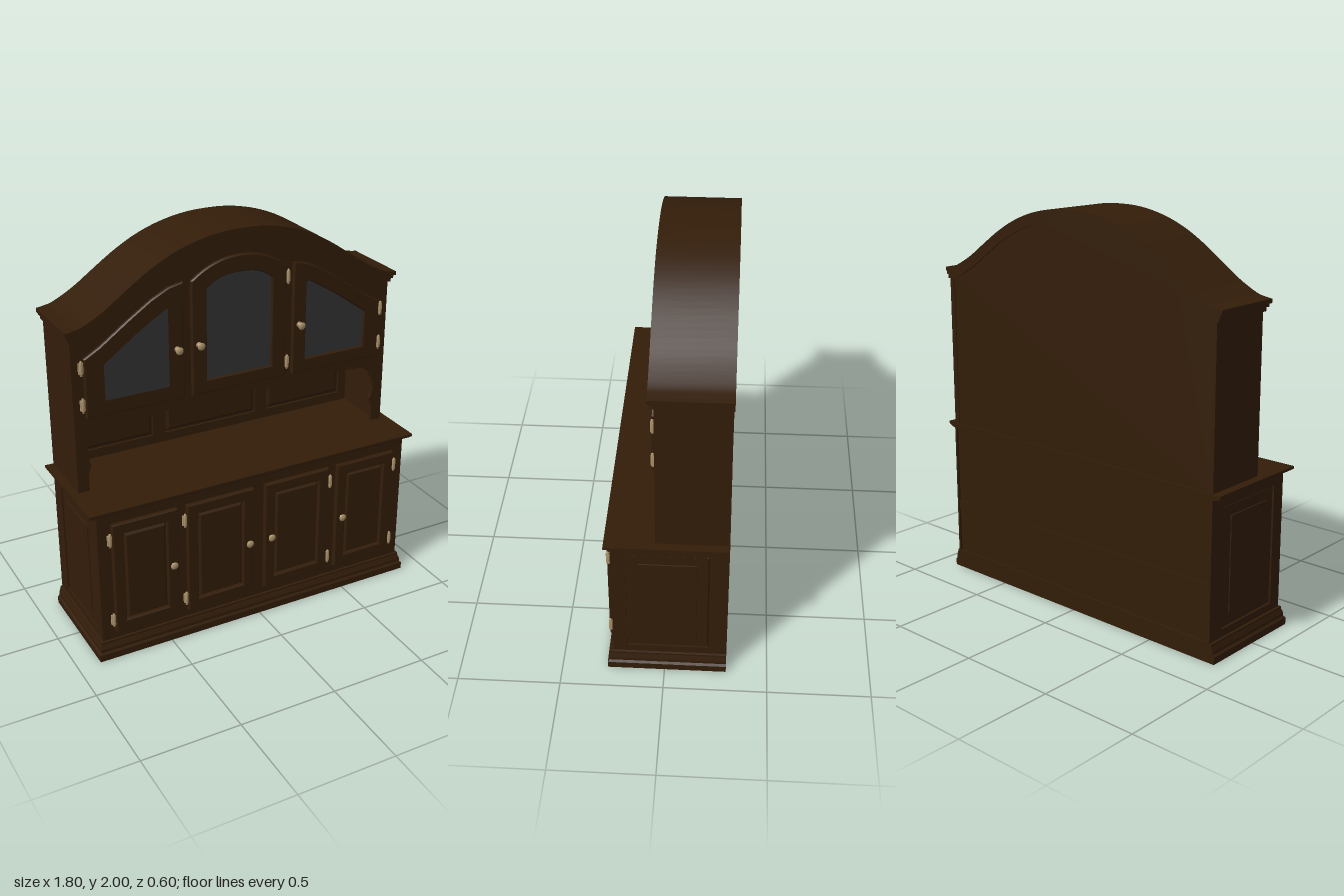
import * as THREE from 'three';
import { toCreasedNormals } from 'three/addons/utils/BufferGeometryUtils.js';

const material = (name, color) => Object.assign(new THREE.MeshStandardMaterial({ color }), { name });
const wood = material('dark wood', 0x331d09);
const glass = material('smoked glass', 0x333333);
const brass = material('aged brass', 0xac936b);

const BACK = -0.3, SIDE = 0.857;
const LOW = 0.25, HIGH = 0.04; // front planes of the base and the hutch

function add(parent, name, geometry, mat, x = 0, y = 0, z = 0) {
  const mesh = new THREE.Mesh(geometry, mat);
  mesh.name = name;
  mesh.position.set(x, y, z);
  parent.add(mesh);
  return mesh;
}

// Box given by its limits
function block(parent, name, x0, x1, y0, y1, z0, z1, mat = wood) {
  return add(parent, name, new THREE.BoxGeometry(x1 - x0, y1 - y0, z1 - z0), mat,
    (x0 + x1) / 2, (y0 + y1) / 2, (z0 + z1) / 2);
}

// Moulded solid from stacked rectangles: [y, halfWidth, front, back]
function stack(levels) {
  const pos = [], idx = [], last = (levels.length - 1) * 4;
  levels.forEach(([y, hx, zf, zb = BACK]) => pos.push(-hx, y, zf, hx, y, zf, hx, y, zb, -hx, y, zb));
  for (let l = 0; l < last; l += 4) {
    for (let i = 0; i < 4; i++) {
      const a = l + i, b = l + (i + 1) % 4;
      idx.push(a, b, b + 4, a, b + 4, a + 4);
    }
  }
  idx.push(0, 2, 1, 0, 3, 2, last, last + 1, last + 2, last, last + 2, last + 3);
  const g = new THREE.BufferGeometry();
  g.setAttribute('position', new THREE.Float32BufferAttribute(pos, 3));
  g.setIndex(idx);
  const flat = g.toNonIndexed();
  flat.computeVertexNormals();
  return flat;
}

// Raised field: a box whose front face is inset, giving sloping edges
function raisedField(w, h, d, slope) {
  const g = new THREE.BoxGeometry(w, h, d).toNonIndexed();
  const p = g.attributes.position;
  for (let i = 0; i < p.count; i++) {
    if (p.getZ(i) > 0) p.setXY(i, p.getX(i) - Math.sign(p.getX(i)) * slope, p.getY(i) - Math.sign(p.getY(i)) * slope);
  }
  g.computeVertexNormals();
  return g;
}

const pts = (list) => list.map(([x, y]) => new THREE.Vector2(x, y));
const rect = (x0, x1, y0, y1) => pts([[x0, y0], [x1, y0], [x1, y1], [x0, y1]]);

function plate(outline, holes, depth, bevel = 0) {
  const shape = new THREE.Shape(outline);
  holes.forEach((h) => shape.holes.push(new THREE.Path(h)));
  const g = new THREE.ExtrudeGeometry(shape, {
    depth: depth - bevel, bevelEnabled: bevel > 0, bevelThickness: bevel,
    bevelSize: bevel, bevelOffset: -bevel, bevelSegments: 1,
  });
  return toCreasedNormals(g, 0.4);
}

// Bonnet curve, left to right, squeezed to a half width and lowered
const half = [[-0.885, 1.645], [-0.85, 1.65], [-0.8, 1.663], [-0.7, 1.716], [-0.6, 1.785],
  [-0.5, 1.853], [-0.4, 1.91], [-0.3, 1.952], [-0.2, 1.98], [-0.1, 1.996]];
const bonnet = new THREE.SplineCurve(pts([...half, [0, 2], ...half.map(([x, y]) => [-x, y]).reverse()]));
const arch = (hx, drop) => bonnet.getPoints(72).map((p) => new THREE.Vector2(p.x * hx / 0.885, p.y - drop));

// Framed door with a raised field, facing +z
function panelDoor(w, h, border, depth) {
  const g = new THREE.Group(), x = w / 2, y = h / 2;
  add(g, 'doorFrame', plate(rect(-x, x, -y, y), [rect(-x + border, x - border, -y + border, y - border)], depth, 0.006), wood);
  add(g, 'doorField', raisedField(w - 2 * border, h - 2 * border, depth * 0.8, 0.016), wood, 0, 0, depth * 0.4);
  return g;
}

const knobGeometry = new THREE.LatheGeometry(pts([[0.016, 0], [0.014, 0.004], [0.006, 0.007], [0.006, 0.02],
  [0.018, 0.026], [0.02, 0.031], [0.014, 0.037], [0, 0.039]]), 14).rotateX(Math.PI / 2);
const hingeGeometry = new THREE.LatheGeometry(pts([[0, -0.04], [0.006, -0.036], [0.004, -0.031], [0.009, -0.027],
  [0.009, 0.027], [0.004, 0.031], [0.006, 0.036], [0, 0.04]]), 10);

function hinge(parent, x, y, z) {
  add(parent, 'hingeBarrel', hingeGeometry, brass, x, y, z + 0.006);
  block(parent, 'hingeLeaf', x - 0.012, x + 0.012, y - 0.026, y + 0.026, z - 0.004, z + 0.006, brass);
}

function buildBase() {
  const base = new THREE.Group();
  base.name = 'baseCabinet';
  block(base, 'baseBody', -SIDE + 0.012, SIDE - 0.012, 0.09, 0.795, BACK + 0.01, LOW);
  block(base, 'backRail', -SIDE + 0.012, SIDE - 0.012, 0.33, 0.38, BACK + 0.004, BACK + 0.02);
  add(base, 'plinth', stack([[0.05, 0.865, 0.255, -0.285], [0, 0.865, 0.255, -0.285], [0, 0.885, 0.278],
    [0.035, 0.885, 0.278], [0.045, 0.876, 0.27], [0.06, 0.876, 0.27], [0.085, 0.868, 0.26], [0.095, 0.868, 0.26],
    [0.098, 0.85, 0.245]]), wood);
  add(base, 'counterTop', stack([[0.79, 0.868, 0.255], [0.797, 0.887, 0.266], [0.806, 0.9, 0.276], [0.818, 0.9, 0.276]]), wood);

  // Side walls with a recessed panel and a raised centre
  const mid = (LOW + BACK) / 2;
  for (const s of [-1, 1]) {
    const side = new THREE.Group();
    side.name = s < 0 ? 'rightSide' : 'leftSide';
    const hz = (LOW - BACK) / 2, c = -s * (-0.015 - mid);
    add(side, 'sideFrame', plate(rect(-hz, hz, -0.355, 0.345), [rect(c - 0.195, c + 0.195, -0.31, 0.29)], 0.012), wood);
    add(side, 'sidePanel', raisedField(0.39, 0.6, 0.006, 0.006), wood, c, -0.01, 0.003);
    add(side, 'sideField', raisedField(0.278, 0.484, 0.012, 0.002), wood, c, -0.007, 0.006);
    side.position.set(s * (SIDE - 0.012), 0.445, mid);
    side.rotation.y = s * Math.PI / 2;
    base.add(side);
  }

  // Four doors
  for (const [x0, x1] of [[-0.79, -0.45], [-0.4, -0.035], [0.03, 0.4], [0.45, 0.79]]) {
    const door = panelDoor(x1 - x0, 0.6, 0.058, 0.022);
    door.name = 'baseDoor';
    door.position.set((x0 + x1) / 2, 0.44, LOW);
    base.add(door);
  }
  for (const x of [-0.483, -0.065, 0.06, 0.48]) add(base, 'baseKnob', knobGeometry, brass, x, 0.44, LOW + 0.012);
  for (const x of [-0.8, -0.41, 0.41, 0.8]) for (const y of [0.213, 0.66]) hinge(base, x, y, LOW + 0.01);
  return base;
}

function buildHutch() {
  const hutch = new THREE.Group();
  hutch.name = 'hutch';
  const floor = 0.815;

  // Carcass
  for (const s of [-1, 1]) {
    const x = s * (SIDE - 0.015);
    block(hutch, 'hutchSide', x - 0.015, x + 0.015, floor, 1.62, BACK + 0.004, 0.02);
  }
  add(hutch, 'hutchBack', plate([...arch(SIDE - 0.01, 0.03), ...pts([[SIDE - 0.01, floor], [0.01 - SIDE, floor]])], [], 0.022), wood, 0, 0, BACK + 0.008);
  block(hutch, 'hutchShelf', -SIDE + 0.03, SIDE - 0.03, 1.18, 1.2, BACK + 0.03, 0.02);

  // Face frame with a scalloped valance over the niche
  const scallop = [[0.8, floor], [0.8, 0.9], [0.785, 0.95], [0.8, 1.0], [0.795, 1.06], [0.77, 1.11], [0.72, 1.14],
    [0.6, 1.148], [0.4, 1.148], [0.25, 1.14], [0.15, 1.142], [0.07, 1.16]];
  const niche = [...scallop, [0, 1.17], ...scallop.map(([x, y]) => [-x, y]).reverse()];
  add(hutch, 'faceFrame', plate([...arch(SIDE, 0.045), ...pts([[SIDE, floor], ...niche, [-SIDE, floor]])], [], 0.02), wood, 0, 0, 0.02);

  // Panels at the back of the niche
  const holes = [[-0.78, -0.33], [-0.26, 0.26], [0.33, 0.78]];
  add(hutch, 'nicheFrame', plate(rect(-0.83, 0.83, floor, 1.18), holes.map(([a, b]) => rect(a, b, 0.865, 1.13)), 0.012), wood, 0, 0, BACK + 0.03);
  for (const [a, b] of holes) {
    add(hutch, 'nichePanel', raisedField(b - a - 0.014, 0.251, 0.01, 0.015), wood, (a + b) / 2, 0.9975, BACK + 0.035);
  }

  // Stepped cornice following the bonnet, each step tucked into the one above
  for (const [hx, top, bottom, front] of [[0.885, 0, 0.02, 0.068], [0.876, 0.012, 0.036, 0.06], [0.868, 0.028, 0.056, 0.051]]) {
    const outline = [...arch(hx, top), ...arch(hx, bottom).reverse()];
    add(hutch, 'cornice', plate(outline, [], front - BACK), wood, 0, 0, BACK);
  }

  // Glazed doors
  const glazed = (name, outline, opening) => {
    add(hutch, name, plate(outline, [opening], 0.018, 0.006), wood, 0, 0, HIGH);
    add(hutch, name + 'Glass', plate(opening, [], 0.005), glass, 0, 0, HIGH + 0.001);
  };
  const sideDoor = [[0.295, 1.2], [0.8, 1.2], [0.8, 1.5], [0.72, 1.545], [0.58, 1.645], [0.46, 1.725], [0.37, 1.77], [0.295, 1.785]];
  const sidePane = [[0.37, 1.27], [0.71, 1.27], [0.71, 1.46], [0.66, 1.495], [0.53, 1.588], [0.385, 1.677], [0.37, 1.672]];
  for (const s of [-1, 1]) {
    const flip = (list) => pts(list.map(([x, y]) => [s * x, y]));
    glazed(s < 0 ? 'rightDoor' : 'leftDoor', flip(sideDoor), flip(sidePane));
  }
  // Middle door: straight sides under a shallow arch
  const arched = (hx, y0, spring, rise, power) => {
    const curve = [];
    for (let i = 0; i <= 16; i++) {
      const t = 1 - i / 8;
      curve.push([hx * t, spring + rise * (1 - Math.pow(Math.abs(t), power))]);
    }
    return pts([[-hx, y0], [hx, y0], ...curve]);
  };
  glazed('middleDoor', arched(0.255, 1.2, 1.78, 0.09, 2.2), arched(0.175, 1.27, 1.73, 0.055, 2.6));

  for (const x of [-0.333, -0.22, 0.33]) add(hutch, 'hutchKnob', knobGeometry, brass, x, 1.46, HIGH + 0.015);
  for (const [x, y] of [[-0.812, 1.455], [0.812, 1.455], [0.268, 1.715], [-0.812, 1.27], [0.812, 1.27], [0.268, 1.27]]) {
    hinge(hutch, x, y, HIGH + 0.004);
  }
  return hutch;
}

export function createModel() {
  const model = new THREE.Group();
  model.name = 'hutchCabinet';
  model.add(buildBase(), buildHutch());
  return model;
}
